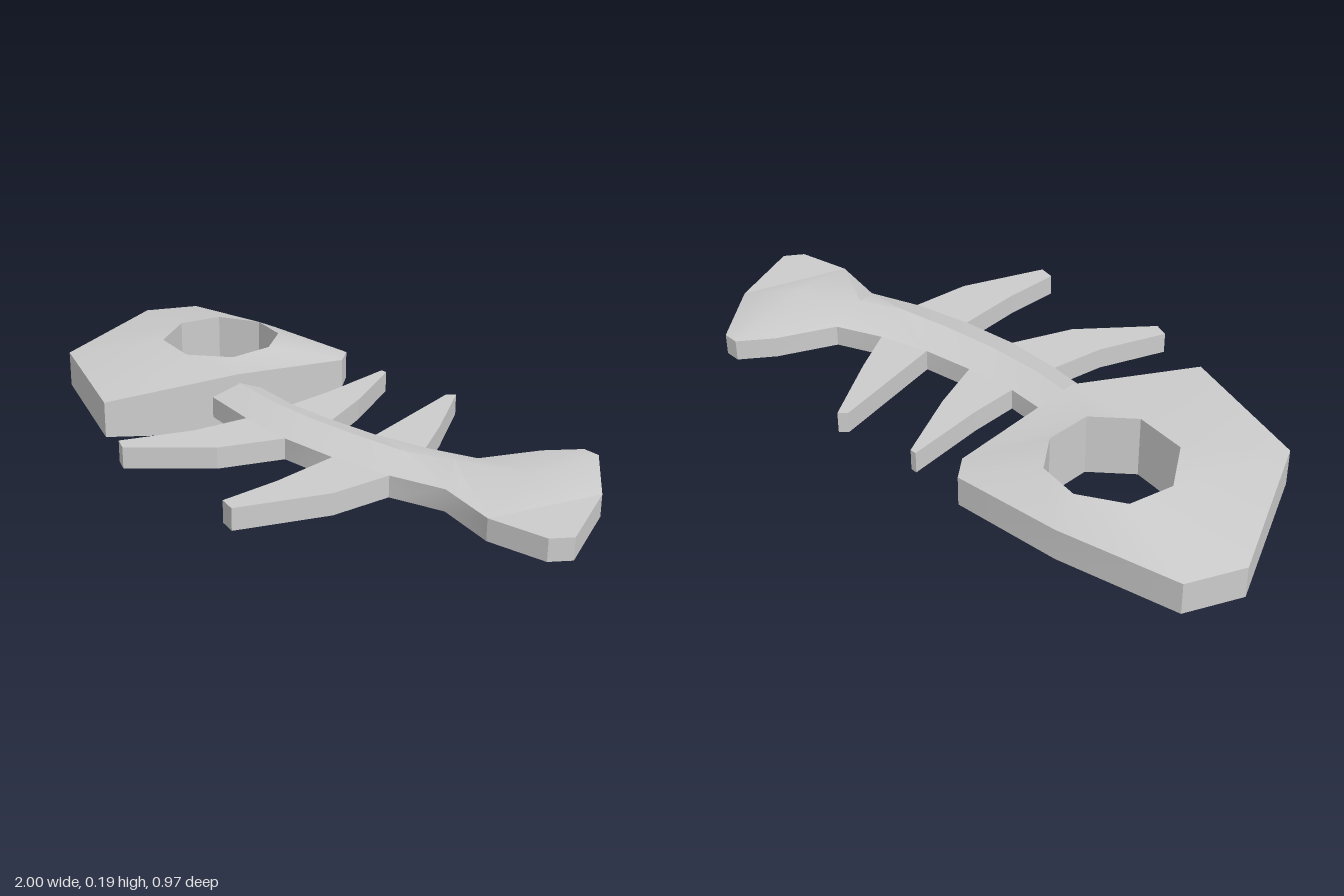
import * as THREE from 'three';
import { toCreasedNormals } from 'three/addons/utils/BufferGeometryUtils.js';

const MID = 0.094; // height of the symmetry plane
const RIM = 0.031; // half thickness of the flat bones
const material = new THREE.MeshStandardMaterial({ color: 0xcccccc });

function addMesh(group, name, geometry) {
  const mesh = new THREE.Mesh(geometry, material);
  mesh.name = name;
  group.add(mesh);
}

// Two-sided plate between an outer rim and an inner line; points are [x, z, half thickness].
function plate(rim, inner, hasHole) {
  const pos = [];
  const at = ([x, z, h], side) => new THREE.Vector3(x, MID + side * h, z);
  const tri = (a, b, c) => {
    if (a.equals(b) || b.equals(c) || a.equals(c)) return;
    for (const p of [a, b, c]) pos.push(p.x, p.y, p.z);
  };
  const quad = (a, b, c, d) => { tri(a, b, c); tri(a, c, d); };
  rim.forEach((r, i) => {
    const j = (i + 1) % rim.length;
    const [r2, n, n2] = [rim[j], inner[i], inner[j]];
    quad(at(r, 1), at(n, 1), at(n2, 1), at(r2, 1));
    quad(at(r, -1), at(r2, -1), at(n2, -1), at(n, -1));
    quad(at(r, 1), at(r2, 1), at(r2, -1), at(r, -1));
    if (hasHole) quad(at(n, 1), at(n, -1), at(n2, -1), at(n2, 1));
  });
  const g = new THREE.BufferGeometry();
  g.setAttribute('position', new THREE.Float32BufferAttribute(pos, 3));
  return toCreasedNormals(g, 0.6);
}

// Flat bone of constant thickness from an [x, z] outline.
function flatBone(points) {
  const shape = new THREE.Shape(points.map(([x, z]) => new THREE.Vector2(x, -z)));
  const g = new THREE.ExtrudeGeometry(shape, { depth: 2 * RIM, bevelEnabled: false });
  g.rotateX(-Math.PI / 2).translate(0, MID - RIM, 0);
  return g;
}

export function createModel() {
  const group = new THREE.Group();
  group.name = 'fishBone';

  // Head with an eye hole, thickest around the eye and at the neck
  const headRim = [
    [-1, -0.19, 0.045], [-0.935, -0.345, 0.045], [-0.595, -0.42, 0.045], [-0.275, -0.45, 0.043],
    [-0.225, -0.39, 0.045], [-0.225, 0.01, 0.093], [-0.365, 0.378, 0.053], [-0.785, 0.24, 0.053],
  ];
  const eye = [
    [-0.71, -0.13], [-0.685, -0.26], [-0.565, -0.33], [-0.44, -0.31],
    [-0.36, -0.21], [-0.355, -0.07], [-0.46, 0.025], [-0.615, 0.005],
  ].map(([x, z]) => [x, z, 0.09]);
  addMesh(group, 'head', plate(headRim, eye, true));

  // Spine and tail: each rim point is joined to a numbered point on the raised ridge
  const ridge = [
    [-0.24, 0], [-0.065, 0.015], [0.1, 0.01], [0.27, -0.01],
    [0.44, -0.04], [0.56, -0.1], [0.74, -0.2],
  ].map(([x, z]) => [x, z, 0.064]);
  const spine = [
    [-0.225, -0.075, 0], [-0.065, -0.065, 1], [0.095, -0.08, 2], [0.25, -0.105, 3],
    [0.4, -0.15, 4], [0.535, -0.21, 5], [0.605, -0.38, 6], [0.67, -0.475, 6],
    [0.72, -0.475, 6], [0.885, -0.295, 6], [0.8, 0.025, 6], [0.62, -0.01, 5],
    [0.47, 0.045, 4], [0.29, 0.085, 3], [0.115, 0.105, 2], [-0.065, 0.1, 1], [-0.255, 0.08, 0],
  ];
  addMesh(group, 'spineAndTail', plate(
    spine.map(([x, z]) => [x, z, RIM]), spine.map((p) => ridge[p[2]]), false));
  addMesh(group, 'tailEdge', flatBone([[0.885, -0.295], [1, -0.065], [0.965, -0.01], [0.8, 0.025]]));

  // Ribs on both sides of the spine
  const ribs = {
    backFrontRib: [[-0.065, -0.065], [-0.075, -0.21], [-0.11, -0.45], [-0.09, -0.45], [0.025, -0.24], [0.095, -0.08]],
    backRearRib: [[0.25, -0.105], [0.155, -0.465], [0.175, -0.485], [0.315, -0.285], [0.4, -0.15]],
    frontRearRib: [[0.47, 0.045], [0.46, 0.225], [0.37, 0.475], [0.32, 0.465], [0.315, 0.29], [0.29, 0.085]],
    frontFrontRib: [[0.115, 0.105], [0.05, 0.285], [-0.11, 0.482], [-0.155, 0.465], [-0.085, 0.265], [-0.065, 0.1]],
  };
  for (const [name, points] of Object.entries(ribs)) addMesh(group, name, flatBone(points));

  return group;
}
